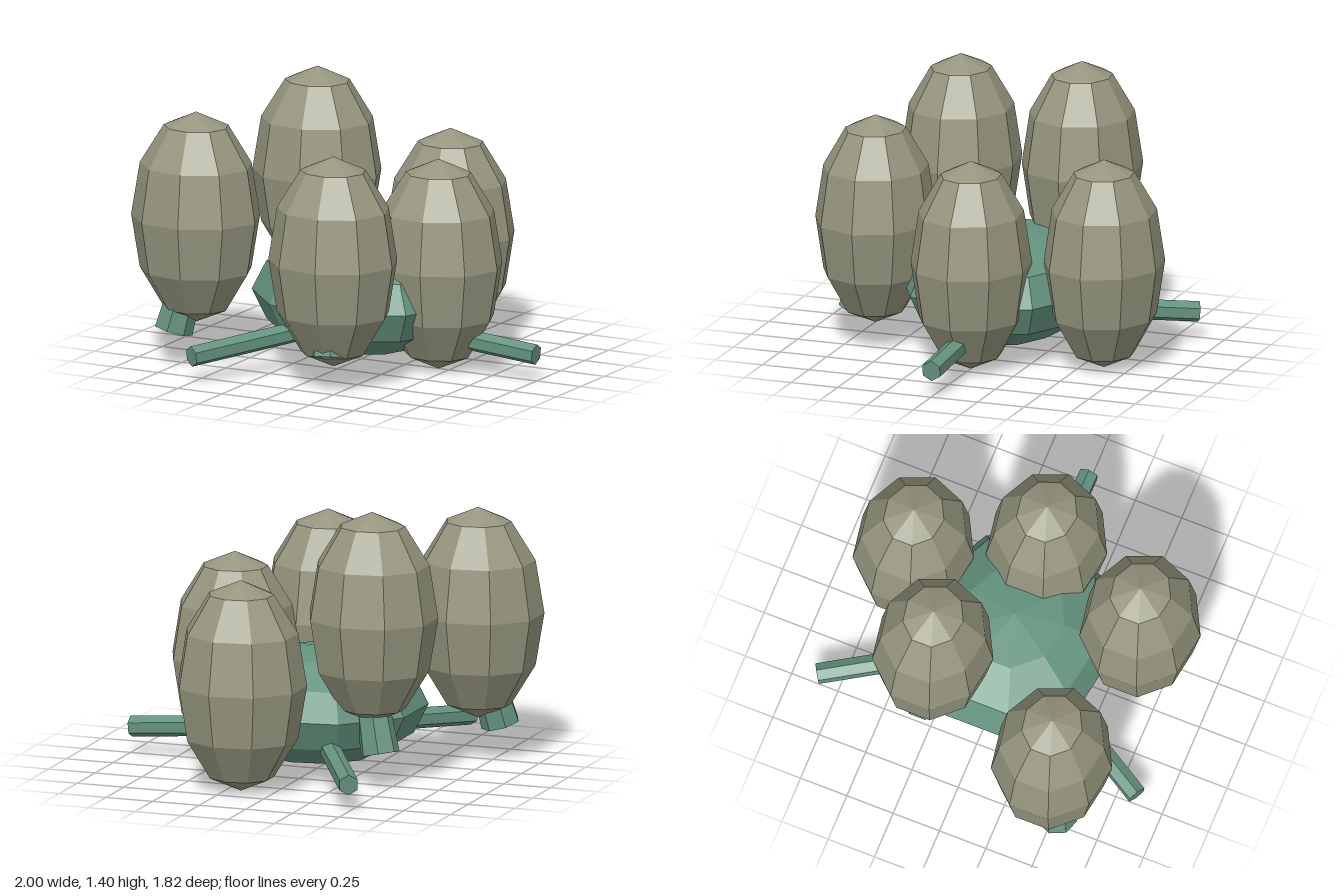
import * as THREE from 'three';

const podColor = new THREE.MeshStandardMaterial({ color: 0x96967f, flatShading: true });
podColor.name = 'paleOlive';
const bodyColor = new THREE.MeshStandardMaterial({ color: 0x64937f, flatShading: true });
bodyColor.name = 'seaGreen';

function addMesh(parent, name, geometry, material) {
  const mesh = new THREE.Mesh(geometry, material);
  mesh.name = name;
  parent.add(mesh);
  return mesh;
}

// Nine-sided faceted ellipsoid with a corner towards +x
function ellipsoid(rx, ry, rz) {
  return new THREE.SphereGeometry(1, 9, 6).rotateY(Math.PI).scale(rx, ry, rz);
}

export function createModel() {
  const model = new THREE.Group();
  model.name = 'podCluster';

  // Squat central body
  addMesh(model, 'body', ellipsoid(0.565, 0.297, 0.51), bodyColor).position.y = 0.342;

  // Three slightly drooping hexagonal legs
  const legGeometry = new THREE.CylinderGeometry(0.053, 0.053, 0.7, 6)
    .rotateY(Math.PI / 2)
    .rotateZ(-Math.PI / 2 - 0.085)
    .translate(0.648, 0.17, 0);
  for (let i = 0; i < 3; i++) {
    addMesh(model, 'leg', legGeometry, bodyColor).rotation.y = i * Math.PI * 2 / 3;
  }

  // Upright pods: x, centre height, z
  const pods = [
    [0.44, 0.545, 0],
    [0.175, 0.655, 0.612],
    [-0.68, 0.76, 0.48],
    [-0.40, 0.87, -0.275],
    [0.175, 0.545, -0.612],
  ];
  const podGeometry = ellipsoid(0.335, 0.54, 0.305);
  // Short stems whose feet splay outwards
  const stemGeometry = new THREE.CylinderGeometry(0.085, 0.1, 0.28, 7)
    .translate(0, 0.14, 0)
    .rotateZ(0.27);
  for (const [x, y, z] of pods) {
    addMesh(model, 'pod', podGeometry, podColor).position.set(x, y, z);
    const stem = addMesh(model, 'stem', stemGeometry, bodyColor);
    stem.position.set(x * 1.14, 0.18, z * 1.14);
    stem.rotation.y = Math.atan2(-z, x);
  }
  return model;
}
